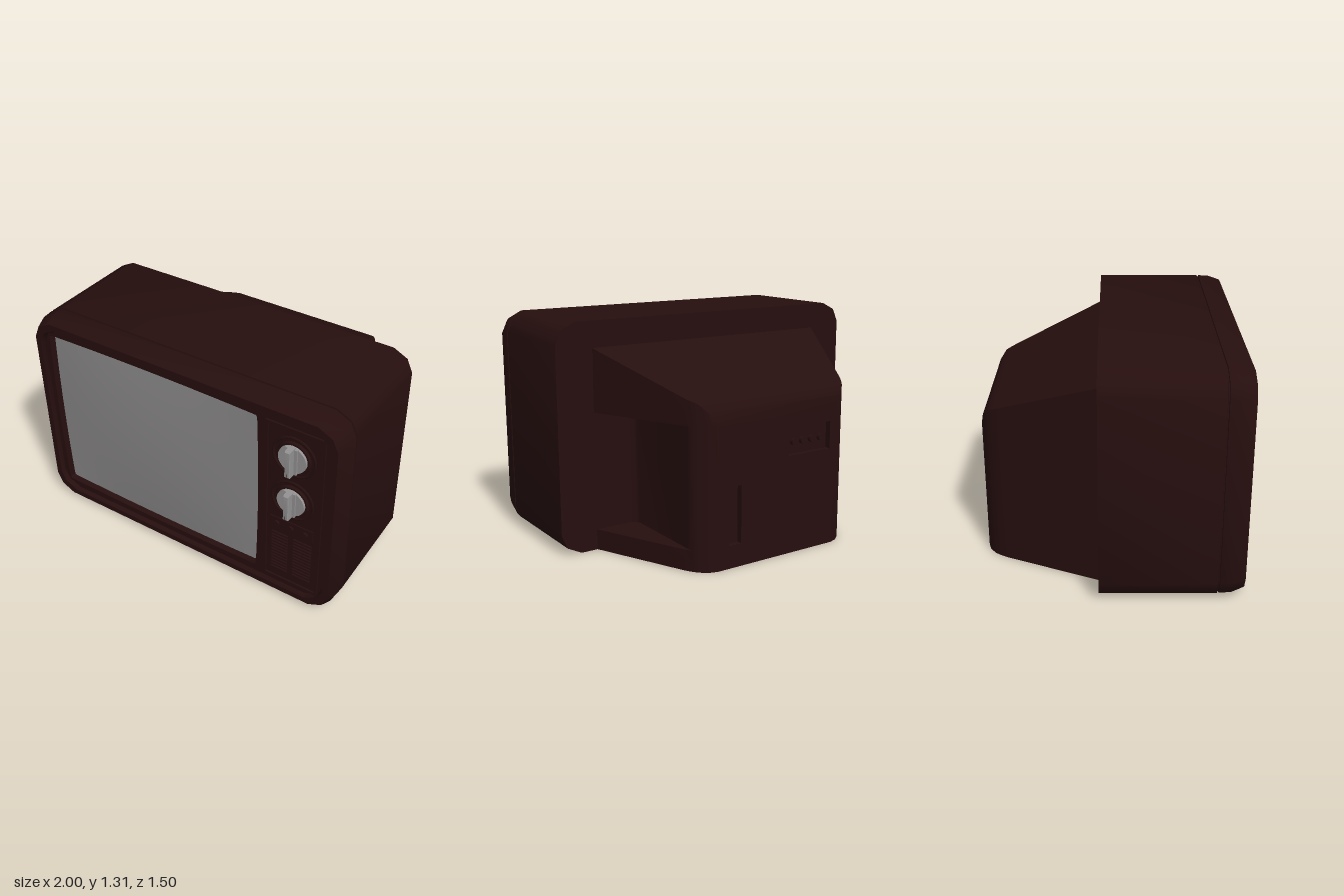
import * as THREE from 'three';
import { toCreasedNormals } from 'three/addons/utils/BufferGeometryUtils.js';

const V = (x, y, z) => new THREE.Vector3(x, y, z);

// Skin between closed loops of equal length (loops run counter-clockwise seen from +z)
function loft(loops, crease = 0.75) {
  const n = loops[0].length, index = [];
  for (let i = 0; i < loops.length - 1; i++) {
    for (let j = 0; j < n; j++) {
      const a = i * n + j, b = i * n + (j + 1) % n;
      index.push(a, b, b + n, a, b + n, a + n);
    }
  }
  const geo = new THREE.BufferGeometry().setFromPoints(loops.flat());
  geo.setIndex(index);
  return toCreasedNormals(geo, crease);
}

// Flat face with optional holes, facing +z or -z
function cap(loop, holes, z, back = false) {
  const s = back ? -1 : 1;
  const flat = (pts) => pts.map((p) => new THREE.Vector2(p.x * s, p.y));
  const shape = new THREE.Shape(flat(loop));
  holes.forEach((h) => shape.holes.push(new THREE.Path(flat(h))));
  const geo = new THREE.ShapeGeometry(shape);
  if (back) geo.rotateY(Math.PI);
  return geo.translate(0, 0, z);
}

const rect = (x0, x1, y0, y1, z = 0) => [V(x0, y0, z), V(x1, y0, z), V(x1, y1, z), V(x0, y1, z)];

// Cabinet outline pulled in by an inset
function outline(inset, z) {
  const corner = [[1, 0.535], [0.965, 0.612], [0.88, 0.655]];
  const flip = [...corner].reverse();
  const pts = [
    ...corner,
    ...flip.map(([x, y]) => [-x, y]),
    ...corner.map(([x, y]) => [-x, -y]),
    ...flip.map(([x, y]) => [x, -y]),
  ];
  const sx = 1 - inset, sy = 1 - inset / 0.655;
  return pts.map(([x, y]) => V(x * sx, 0.655 + y * sy, z));
}

// Bowed picture-tube outline: u and v run from -1 to 1
const tube = (u, v, z, k = 1) =>
  V(-0.195 + 0.695 * k * u * (1 - 0.015 * v * v), 0.655 + 0.54 * k * v * (1 - 0.02 * u * u), z);

function tubeLoop(z, k) {
  const pts = [], n = 10;
  const sides = [(t) => [t, -1], (t) => [1, t], (t) => [-t, 1], (t) => [-1, -t]];
  for (const side of sides) {
    for (let i = 0; i < n; i++) {
      const [u, v] = side(-0.985 + (1.97 * i) / (n - 1));
      pts.push(tube(u, v, z, k));
    }
  }
  return pts;
}

export function createModel() {
  const tv = new THREE.Group();
  const body = new THREE.MeshStandardMaterial({ color: 0x260e0e });
  const glass = new THREE.MeshStandardMaterial({ color: 0x8a8888 });
  const metal = new THREE.MeshStandardMaterial({ color: 0x949292 });
  body.name = 'dark brown casing';
  glass.name = 'grey screen';
  metal.name = 'grey knob';

  const add = (name, geo, mat = body, parent = tv) => {
    const mesh = new THREE.Mesh(geo, mat);
    mesh.name = name;
    parent.add(mesh);
    return mesh;
  };
  const box = (name, x0, x1, y0, y1, z0, z1, mat, parent) =>
    add(name, new THREE.BoxGeometry(x1 - x0, y1 - y0, z1 - z0)
      .translate((x0 + x1) / 2, (y0 + y1) / 2, (z0 + z1) / 2), mat, parent);

  // Cabinet shell with seam groove, tapered bezel and sunken front
  const face = 0.675;
  const steps = [
    [0, -0.09], [0, 0.55], [0.008, 0.552], [0.008, 0.559], [0, 0.561], [0.004, 0.63],
    [0.025, 0.7], [0.06, 0.7], [0.07, face],
  ];
  add('cabinet', loft(steps.map(([i, z]) => outline(i, z))));
  add('cabinetBack', cap(outline(0, 0), [], -0.09, true));
  add('frontPanel', cap(outline(0.07, 0), [tubeLoop(0, 1.015)], face));

  // Bulged screen in its surround
  add('screenSurround', loft([tubeLoop(face, 1.015), tubeLoop(0.645, 0.998)]));
  const screen = new THREE.PlaneGeometry(2, 2, 16, 16);
  const pos = screen.attributes.position;
  for (let i = 0; i < pos.count; i++) {
    const u = pos.getX(i), v = pos.getY(i);
    const p = tube(u, v, 0.645 + 0.025 * (1 - u * u) * (1 - v * v));
    pos.setXYZ(i, p.x, p.y, p.z);
  }
  screen.computeVertexNormals();
  add('screen', screen, glass);

  // Raised frame round the controls
  const frame = new THREE.Shape(rect(0.555, 0.9, 0.1, 1.2).map((p) => new THREE.Vector2(p.x, p.y)));
  frame.holes.push(new THREE.Path(rect(0.57, 0.885, 0.115, 1.185).map((p) => new THREE.Vector2(p.x, p.y))));
  add('controlFrame', new THREE.ExtrudeGeometry(frame, { depth: 0.01, bevelEnabled: false })
    .translate(0, 0, face));

  // Two dials with a ring, disc and grip bar each
  for (const y of [1.017, 0.723]) {
    const dial = new THREE.Group();
    dial.name = 'dial';
    dial.position.set(0.722, y, face);
    tv.add(dial);
    add('dialRing', new THREE.TorusGeometry(0.122, 0.008, 6, 32), body, dial);
    add('dialCollar', new THREE.CylinderGeometry(0.094, 0.1, 0.012, 32)
      .rotateX(Math.PI / 2).translate(0, 0, 0.006), body, dial);
    add('dialDisc', new THREE.CylinderGeometry(0.082, 0.085, 0.025, 32)
      .rotateX(Math.PI / 2).translate(0, 0, 0.0125), metal, dial);
    box('gripBase', -0.034, 0.034, -0.08, 0.08, 0.02, 0.036, metal, dial);
    add('grip', loft([
      rect(-0.018, 0.018, -0.085, 0.085, 0.02),
      rect(-0.016, 0.016, -0.085, 0.085, 0.068),
      rect(-0.013, 0.013, -0.079, 0.079, 0.075),
      rect(-0.001, 0.001, -0.078, 0.078, 0.0752),
    ], 0.3), metal, dial);
  }

  // Button strip
  box('buttonStrip', 0.59, 0.855, 0.485, 0.562, face, face + 0.006);
  for (const x of [0.635, 0.722, 0.81]) {
    add('button', new THREE.CylinderGeometry(0.016, 0.018, 0.012, 16)
      .rotateX(Math.PI / 2).translate(x, 0.523, face + 0.01));
  }

  // Speaker grille in two columns
  for (const [x0, x1] of [[0.605, 0.705], [0.74, 0.85]]) {
    for (let i = 0; i < 13; i++) {
      const y = 0.17 + i * 0.0225;
      box('grilleSlat', x0, x1, y, y + 0.012, face, face + 0.01);
    }
  }

  // Tapered rear housing, with a hollow in its left side: [z, half width, top, hollow wall]
  const ribs = [
    [-0.75, 0.4, 0.8, 0.52], [-0.735, 0.45, 0.87, 0.52], [-0.7, 0.495, 0.92, 0.52],
    [-0.665, 0.52, 0.934, 0.52], [-0.63, 0.54, 0.948, 0.52], [-0.13, 0.762, 1.144, 0.52],
    [-0.105, 0.773, 1.154, 0.53], [-0.09, 0.78, 1.16, 0.56],
  ];
  add('rearHousing', loft(ribs.map(([z, w, top, wall]) => {
    const m = Math.min(w, wall);
    return [[w, 0], [w, 0.12], [m, 0.12], [m, 0.8], [w, 0.8], [w, top], [-w, top], [-w, 0]]
      .map(([x, y]) => V(x, y, z));
  })));

  // Back plate with a cable slot and a socket recess
  const pockets = [[0.25, 0.33, 0.13, 0.46], [-0.37, -0.07, 0.57, 0.73]];
  add('backPlate', cap(rect(-0.4, 0.4, 0, 0.8), pockets.map((p) => rect(...p)), -0.75, true));
  for (const p of pockets) {
    add('pocketWall', loft([rect(...p, -0.75).reverse(), rect(...p, -0.715).reverse()]));
    add('pocketFloor', cap(rect(...p), [], -0.715, true));
  }
  for (let i = 0; i < 4; i++) {
    add('socket', new THREE.CylinderGeometry(0.02, 0.02, 0.025, 12)
      .rotateX(Math.PI / 2).translate(-0.32 + i * 0.065, 0.64, -0.725));
  }
  return tv;
}
